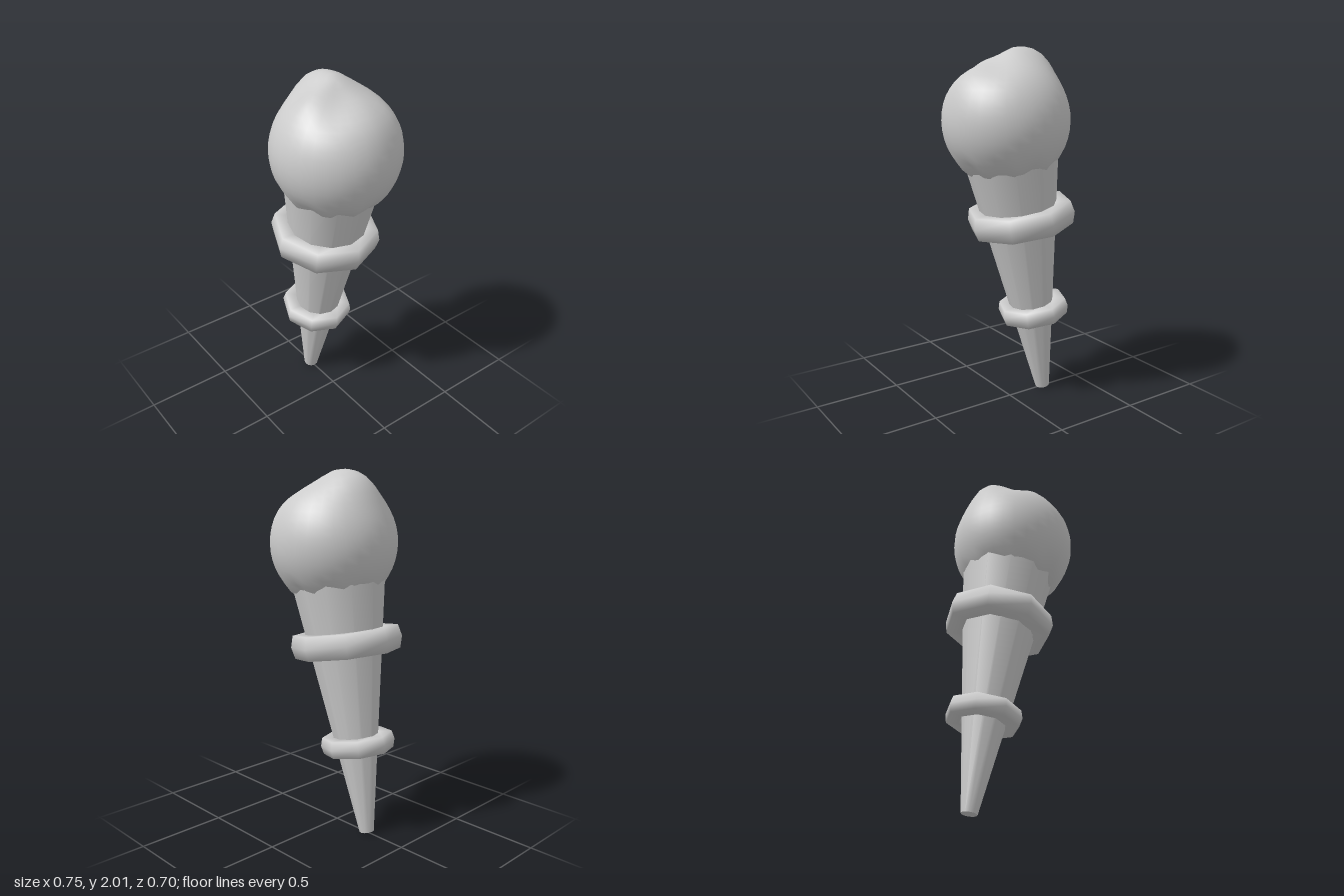
import * as THREE from 'three';
import { mergeVertices } from 'three/addons/utils/BufferGeometryUtils.js';

const material = new THREE.MeshStandardMaterial({ color: 0xcccccc, side: THREE.DoubleSide });

function addMesh(parent, name, geometry) {
  const mesh = new THREE.Mesh(geometry, material);
  mesh.name = name;
  parent.add(mesh);
  return mesh;
}

// Drop the seam so that normals run smoothly all the way round
function smooth(geometry) {
  geometry.deleteAttribute('uv');
  geometry.deleteAttribute('normal');
  const merged = mergeVertices(geometry, 1e-4);
  merged.computeVertexNormals();
  return merged;
}

// Eight-sided band around the cone, with a chunky hexagonal section
function ringGeometry(outer, inner, half) {
  const bevel = half * 0.25;
  const section = [
    [outer, 0], [outer - bevel, half], [inner + bevel, half],
    [inner, 0], [inner + bevel, -half], [outer - bevel, -half], [outer, 0],
  ].map(([r, y]) => new THREE.Vector2(r, y)).reverse();
  return smooth(new THREE.LatheGeometry(section, 8));
}

// Ball with soft bumps and dents around the top and a rippled lower rim
function scoopGeometry(radius) {
  const lumps = [ // direction, height, spread
    [[-0.45, 0.89, 0.0], 0.064, 0.27],
    [[-0.05, 1.0, -0.05], 0.022, 0.16],
    [[0.2, 0.97, 0.05], -0.03, 0.2],
    [[-0.28, 0.87, 0.4], -0.025, 0.18],
    [[0.05, 0.88, 0.47], 0.014, 0.2],
    [[0.4, 0.85, -0.35], -0.02, 0.22],
    [[0.45, 0.8, 0.4], -0.02, 0.22],
    [[0.8, 0.6, 0.0], 0.008, 0.18],
  ].map(([d, h, s]) => [new THREE.Vector3(...d).normalize(), h, s]);
  const geometry = new THREE.SphereGeometry(radius, 32, 24);
  const pos = geometry.attributes.position;
  const n = new THREE.Vector3();
  for (let i = 0; i < pos.count; i++) {
    n.fromBufferAttribute(pos, i).normalize();
    let r = radius;
    for (const [d, h, s] of lumps) r += h * Math.exp(-n.distanceToSquared(d) / (2 * s * s));
    const low = THREE.MathUtils.smoothstep(-n.y, 0.45, 0.75) * Math.hypot(n.x, n.z);
    r += 0.014 * low * Math.sin(9 * Math.atan2(n.z, n.x));
    pos.setXYZ(i, n.x * r, n.y * r, n.z * r);
  }
  return smooth(geometry);
}

export function createModel() {
  const model = new THREE.Group();
  model.name = 'iceCreamCone';

  // Everything below the scoop leans together
  const leaning = new THREE.Group();
  leaning.name = 'leaningCone';
  leaning.position.set(-0.24, 0.008, 0);
  leaning.rotation.z = -THREE.MathUtils.degToRad(9.2);
  model.add(leaning);

  const height = 1.45;
  const cone = addMesh(leaning, 'cone', new THREE.CylinderGeometry(0.265, 0.042, height, 12));
  cone.position.y = height / 2;

  const upperRing = addMesh(leaning, 'upperRing', ringGeometry(0.309, 0.19, 0.065));
  upperRing.position.set(-0.008, 1.092, 0);

  const lowerRing = addMesh(leaning, 'lowerRing', ringGeometry(0.208, 0.115, 0.046));
  lowerRing.position.set(-0.008, 0.52, 0);

  const scoop = addMesh(model, 'scoop', scoopGeometry(0.35));
  scoop.position.set(0.025, 1.625, 0);

  return model;
}
